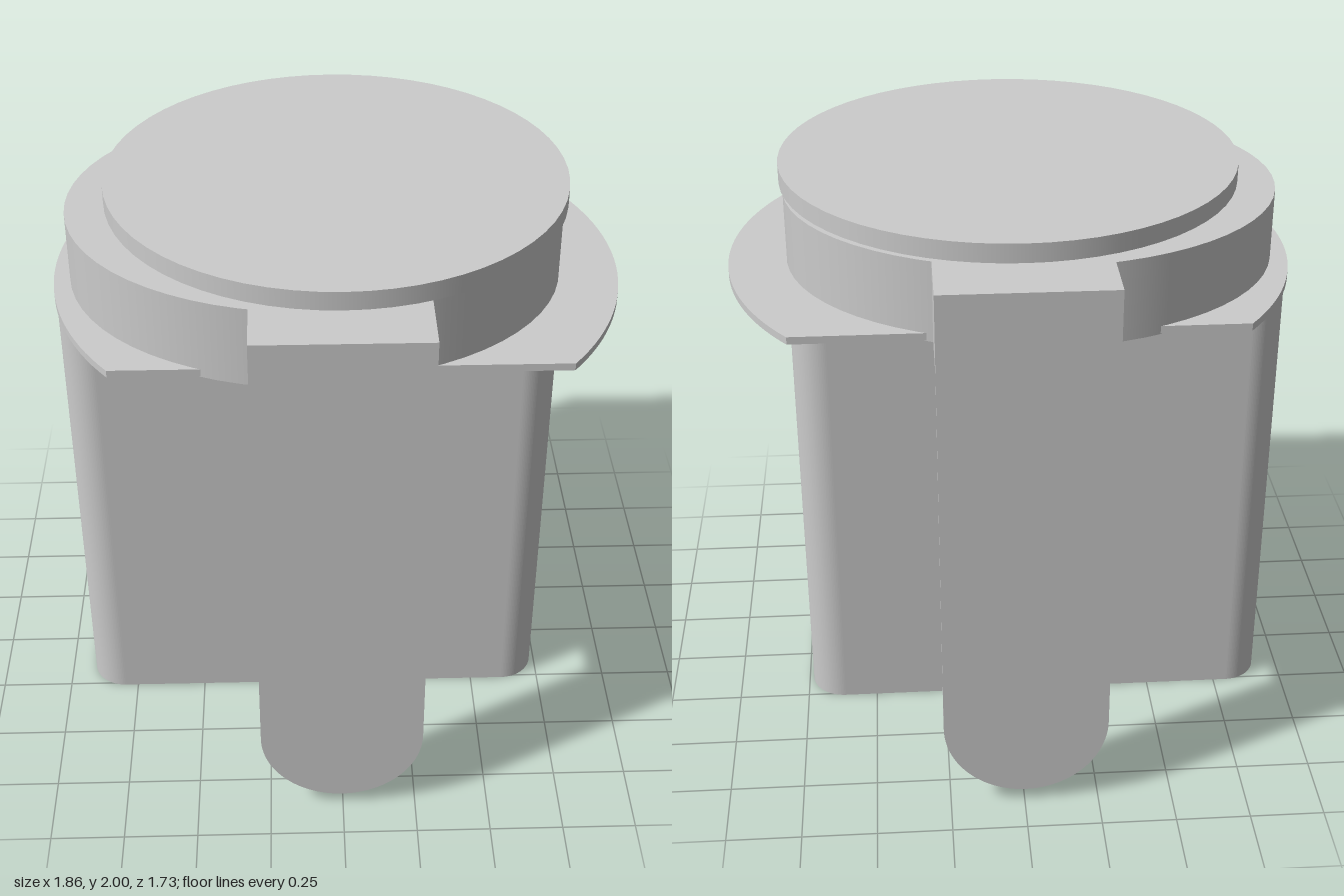
import * as THREE from 'three';

const material = new THREE.MeshStandardMaterial({ color: 0xcccccc });

export function createModel() {
  const model = new THREE.Group();
  model.name = 'canister';

  const add = (name, geometry, x = 0, y = 0, z = 0) => {
    const mesh = new THREE.Mesh(geometry, material);
    mesh.name = name;
    mesh.position.set(x, y, z);
    model.add(mesh);
    return mesh;
  };

  // Extrudes a plan outline upwards from y = 0
  const slab = (shape, height) =>
    new THREE.ExtrudeGeometry(shape, { depth: height, bevelEnabled: false, curveSegments: 16 })
      .rotateX(-Math.PI / 2);

  // Tall body: a box with rounded upright corners, set off to the right
  const w = 0.825, d = 0.26, r = 0.12;
  const outline = new THREE.Shape();
  outline.absarc(w - r, d - r, r, 0, Math.PI / 2);
  outline.absarc(r - w, d - r, r, Math.PI / 2, Math.PI);
  outline.absarc(r - w, r - d, r, Math.PI, Math.PI * 1.5);
  outline.absarc(w - r, r - d, r, Math.PI * 1.5, Math.PI * 2);
  add('body', slab(outline, 1.635), -0.09);

  // Flange: plate with two curved ends and straight front and back
  const flange = new THREE.Shape();
  const arcRadius = 1.0, halfDepth = 0.622, reach = 0.932;
  const a = Math.asin(halfDepth / arcRadius);
  flange.absarc(reach - arcRadius, 0, arcRadius, -a, a);
  flange.absarc(arcRadius - reach, 0, arcRadius, Math.PI - a, Math.PI + a);
  add('flange', slab(flange, 0.025), 0, 1.632);

  // Oval collar, neck and cap
  const collar = add('collar', new THREE.CylinderGeometry(1, 1, 0.268, 64), -0.07, 1.764);
  collar.scale.set(0.81, 1, 0.695);
  add('neck', new THREE.CylinderGeometry(0.527, 0.527, 0.05, 64), 0, 1.918);
  add('cap', new THREE.CylinderGeometry(0.75, 0.75, 0.062, 64), 0, 1.969);

  // Hanging side plates with round lower ends, joined to the collar by blocks
  const half = 0.274, thickness = 0.03, outer = 0.867;
  const tongue = new THREE.Shape();
  tongue.moveTo(half, 1.898);
  tongue.lineTo(-half, 1.898);
  tongue.lineTo(-half, 0.32);
  tongue.absarc(0, 0.32, half, Math.PI, Math.PI * 2);
  const plate = new THREE.ExtrudeGeometry(tongue, {
    depth: thickness, bevelEnabled: false, curveSegments: 24,
  });
  const inner = 0.55, blockDepth = outer - thickness - inner;
  const block = new THREE.BoxGeometry(half * 2, 0.268, blockDepth);
  for (const [side, label] of [[1, 'front'], [-1, 'back']]) {
    add(label + 'Plate', plate, -0.004, 0, side > 0 ? outer - thickness : -outer);
    add(label + 'Block', block, -0.004, 1.764, side * (inner + blockDepth / 2));
  }

  return model;
}
